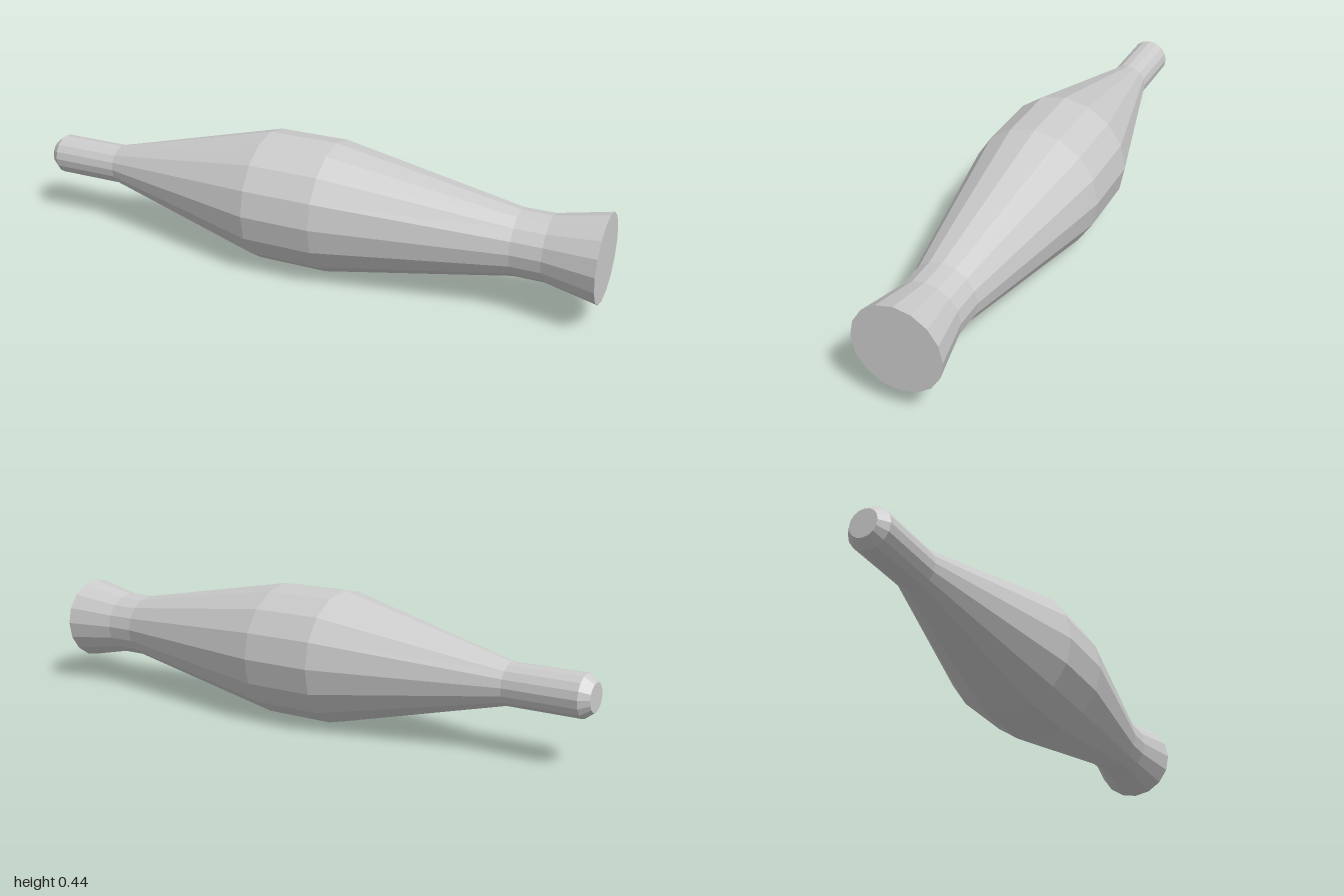
import * as THREE from 'three';

const SIDES = 16;
const AXIS_HEIGHT = 0.22;

export function createModel() {
  const group = new THREE.Group();
  group.name = 'turnedClub';

  // Profile as [radius, position along x], from the knob end to the flared end
  const profile = [
    [0, -1], [0.045, -1], [0.068, -0.97], // chamfered tip
    [0.068, -0.73],                       // straight handle
    [0.22, -0.13], [0.22, 0.11],          // wide belly
    [0.108, 0.73], [0.108, 0.83],         // neck
    [0.143, 1], [0, 1],                   // flared end and flat cap
  ].map(([r, x]) => new THREE.Vector2(r, x));

  // Turn the lathe axis from y to x and rest the belly on the ground
  const geometry = new THREE.LatheGeometry(profile, SIDES);
  geometry.rotateZ(-Math.PI / 2);
  geometry.translate(0, AXIS_HEIGHT, 0);

  const material = new THREE.MeshStandardMaterial({ color: 0xcccccc, flatShading: true });
  const body = new THREE.Mesh(geometry, material);
  body.name = 'body';
  group.add(body);
  return group;
}
